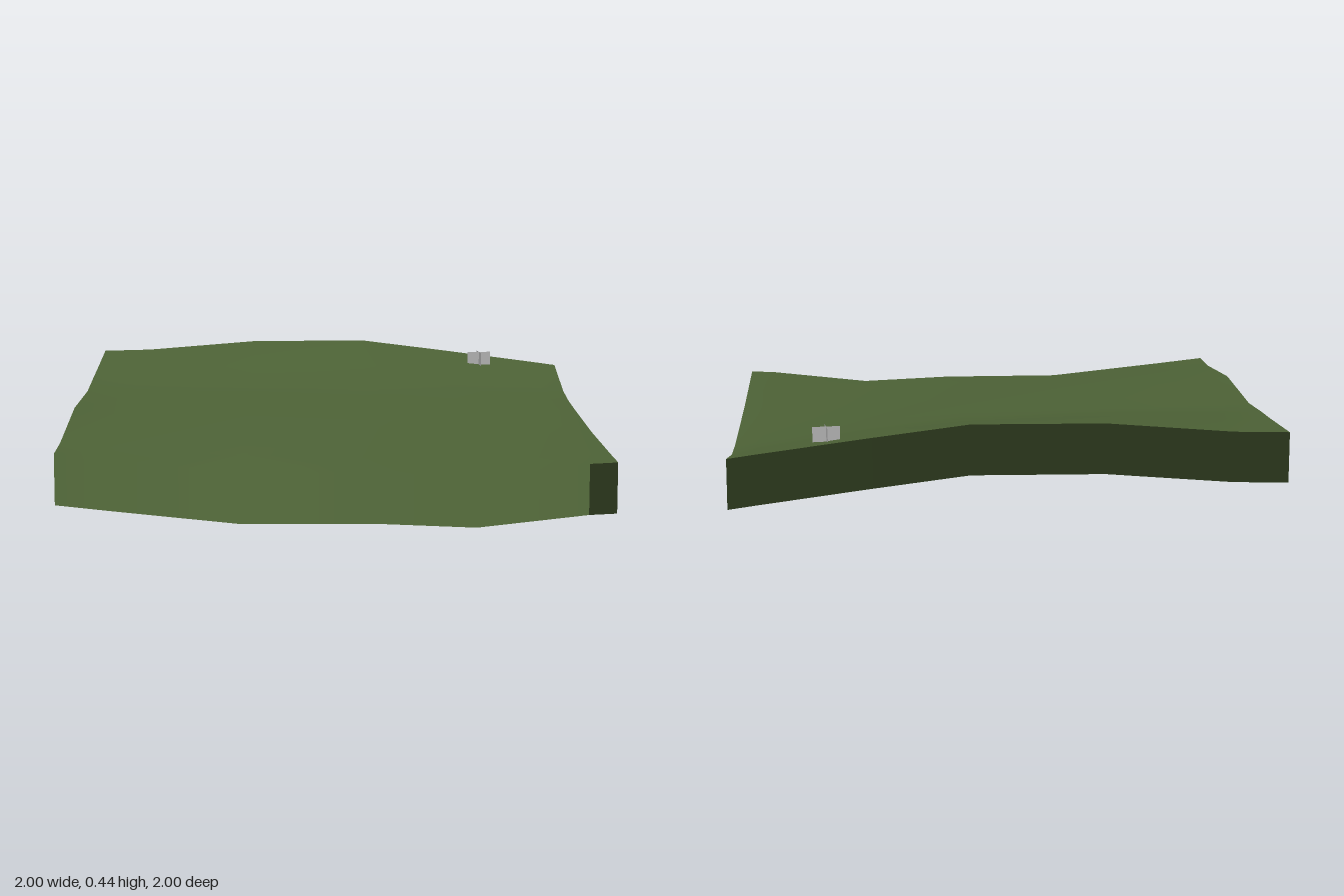
import * as THREE from 'three';

const DEPTH = 0.185; // drop of the border skirt
const XS = [-1, -0.8, -0.34, 0.14, 0.5, 0.9, 1];
const ZS = [-1, -0.65, -0.45, -0.2, 0.3, 0.8, 1];
// Ground heights: one row per z, one column per x
const HEIGHTS = [
  [0.395, 0.400, 0.437, 0.440, 0.395, 0.342, 0.328],
  [0.365, 0.370, 0.385, 0.375, 0.340, 0.278, 0.260],
  [0.350, 0.345, 0.345, 0.330, 0.305, 0.258, 0.245],
  [0.328, 0.318, 0.315, 0.305, 0.280, 0.246, 0.240],
  [0.334, 0.304, 0.300, 0.258, 0.230, 0.231, 0.233],
  [0.281, 0.262, 0.235, 0.222, 0.205, 0.234, 0.237],
  [0.275, 0.253, 0.205, 0.205, 0.190, 0.235, 0.240],
];

function buildGeometry(positions, indices) {
  const g = new THREE.BufferGeometry();
  g.setAttribute('position', new THREE.Float32BufferAttribute(positions, 3));
  g.setIndex(indices);
  return g;
}

// Rolling top sheet
function groundGeometry() {
  const n = XS.length;
  const pos = [], idx = [];
  ZS.forEach((z, j) => XS.forEach((x, i) => pos.push(x, HEIGHTS[j][i], z)));
  for (let j = 0; j < ZS.length - 1; j++) {
    for (let i = 0; i < n - 1; i++) {
      const a = j * n + i, b = a + n;
      idx.push(a, b, a + 1, a + 1, b, b + 1);
    }
  }
  const g = buildGeometry(pos, idx);
  g.computeVertexNormals();
  return g;
}

// Wall hanging from the border, shaded like the ground above it
function skirtGeometry(ground) {
  const n = XS.length, m = ZS.length, loop = [];
  for (let i = 0; i < n - 1; i++) loop.push((m - 1) * n + i);
  for (let j = m - 1; j > 0; j--) loop.push(j * n + n - 1);
  for (let i = n - 1; i > 0; i--) loop.push(i);
  for (let j = 0; j < m - 1; j++) loop.push(j * n);
  const p = ground.attributes.position, nor = ground.attributes.normal;
  const pos = [], normals = [], idx = [];
  loop.forEach((v, k) => {
    for (const drop of [0, DEPTH]) {
      pos.push(p.getX(v), p.getY(v) - drop, p.getZ(v));
      normals.push(nor.getX(v), nor.getY(v), nor.getZ(v));
    }
    const a = 2 * k, b = 2 * ((k + 1) % loop.length);
    idx.push(a + 1, b + 1, b, a + 1, b, a);
  });
  const g = buildGeometry(pos, idx);
  g.setAttribute('normal', new THREE.Float32BufferAttribute(normals, 3));
  return g;
}

export function createModel() {
  const model = new THREE.Group();
  model.name = 'terrainTile';
  const grass = new THREE.MeshStandardMaterial({ color: 0x4d6236, side: THREE.DoubleSide });
  grass.name = 'grass green';
  const grey = new THREE.MeshStandardMaterial({ color: 0xb0b0b0, side: THREE.DoubleSide });
  grey.name = 'light grey';

  const groundGeo = groundGeometry();
  const ground = new THREE.Mesh(groundGeo, grass);
  ground.name = 'ground';
  const skirt = new THREE.Mesh(skirtGeometry(groundGeo), grass);
  skirt.name = 'skirt';
  model.add(ground, skirt);

  // Small marker of two crossed upright plates
  const marker = new THREE.Group();
  marker.name = 'crossedMarker';
  marker.position.set(0.65, 0.378, -0.85);
  marker.rotation.y = 0.12;
  for (let i = 0; i < 2; i++) {
    const plate = new THREE.Mesh(new THREE.PlaneGeometry(0.1, 0.056), grey);
    plate.name = 'markerPlate';
    plate.rotation.y = i * Math.PI / 2;
    marker.add(plate);
  }
  model.add(marker);
  return model;
}
